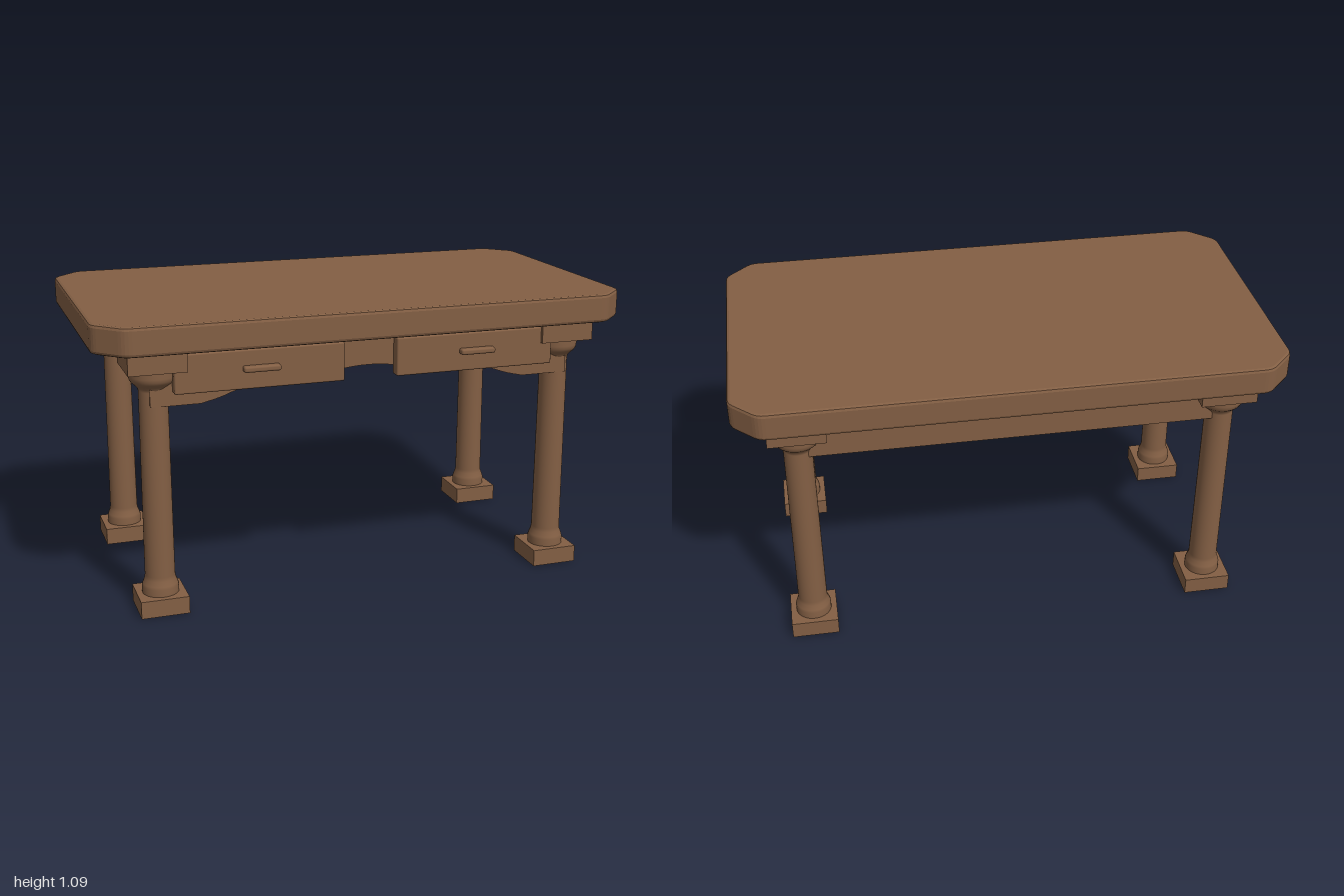
import * as THREE from 'three';
import { RoundedBoxGeometry } from 'three/addons/geometries/RoundedBoxGeometry.js';

const LEG_X = 0.778, LEG_Z = 0.378, UNDER = 0.985;

export function createModel() {
  const table = new THREE.Group();
  table.name = 'writingTable';
  const wood = new THREE.MeshStandardMaterial({ color: 0x835f44 });
  wood.name = 'brown wood';

  const add = (parent, name, geometry, x = 0, y = 0, z = 0) => {
    const mesh = new THREE.Mesh(geometry, wood);
    mesh.name = name;
    mesh.position.set(x, y, z);
    parent.add(mesh);
    return mesh;
  };
  const box = (w, h, d) => new THREE.BoxGeometry(w, h, d);

  // Tabletop: clipped, slightly softened corners and a small bevel
  const bevel = 0.012, hx = 1 - bevel, hz = 0.555 - bevel, cut = 0.093, soft = 0.022;
  const corners = [
    [hx, -hz + cut], [hx, hz - cut], [hx - cut, hz], [-hx + cut, hz],
    [-hx, hz - cut], [-hx, -hz + cut], [-hx + cut, -hz], [hx - cut, -hz],
  ].map(([x, z]) => new THREE.Vector2(x, z));
  const outline = new THREE.Shape();
  corners.forEach((p, i) => {
    const toward = (q) => p.clone().add(q.clone().sub(p).setLength(soft));
    const a = toward(corners[(i + 7) % 8]), b = toward(corners[(i + 1) % 8]);
    if (i === 0) outline.moveTo(a.x, a.y);
    else outline.lineTo(a.x, a.y);
    outline.quadraticCurveTo(p.x, p.y, b.x, b.y);
  });
  outline.closePath();
  const top = new THREE.ExtrudeGeometry(outline, {
    depth: 0.105 - 2 * bevel, bevelEnabled: true, bevelSize: bevel,
    bevelThickness: bevel, bevelSegments: 2, curveSegments: 4,
  });
  top.rotateX(-Math.PI / 2);
  add(table, 'tabletop', top, 0, UNDER + bevel, 0);

  // Legs: square foot, turned column with flared head, square capital
  const column = new THREE.LatheGeometry([
    [0.067, 0.06], [0.067, 0.092], [0.064, 0.102], [0.057, 0.12], [0.055, 0.135],
    [0.052, 0.825], [0.055, 0.836], [0.064, 0.846], [0.077, 0.858],
    [0.083, 0.868], [0.085, 0.88], [0.085, 0.91],
  ].map(([r, y]) => new THREE.Vector2(r, y)), 40);
  const foot = box(0.177, 0.065, 0.177);
  const capital = box(0.207, 0.08, 0.21);
  for (const sx of [-1, 1]) {
    for (const sz of [-1, 1]) {
      const leg = new THREE.Group();
      leg.name = (sz > 0 ? 'front' : 'back') + (sx > 0 ? 'Left' : 'Right') + 'Leg';
      leg.position.set(sx * LEG_X, 0, sz * LEG_Z);
      add(leg, 'foot', foot, 0, 0.0325, 0);
      add(leg, 'column', column);
      add(leg, 'capital', capital, 0, 0.945, 0);
      table.add(leg);
    }
  }

  // Plain side and back rails
  for (const sx of [-1, 1]) {
    add(table, sx > 0 ? 'leftRail' : 'rightRail',
      box(0.06, UNDER - 0.86, 2 * LEG_Z), sx * LEG_X, (UNDER + 0.86) / 2, 0);
  }
  add(table, 'backRail', box(2 * LEG_X, UNDER - 0.805, 0.06), 0, (UNDER + 0.805) / 2, -0.385);

  // Front apron with a scalloped, arched lower edge
  const half = [[0.62, 0.775], [0.55, 0.792], [0.47, 0.818], [0.36, 0.826], [0.22, 0.832], [0.1, 0.858]];
  const edge = [
    ...half.map(([x, y]) => new THREE.Vector2(-x, y)),
    new THREE.Vector2(0, 0.866),
    ...half.map(([x, y]) => new THREE.Vector2(x, y)).reverse(),
  ];
  const apron = new THREE.Shape();
  apron.moveTo(-0.8, UNDER);
  apron.lineTo(-0.8, 0.775);
  apron.lineTo(-0.62, 0.775);
  apron.splineThru(edge.slice(1));
  apron.lineTo(0.8, 0.775);
  apron.lineTo(0.8, UNDER);
  apron.closePath();
  const apronGeometry = new THREE.ExtrudeGeometry(apron, { depth: 0.05, bevelEnabled: false, curveSegments: 3 });
  add(table, 'frontApron', apronGeometry, 0, 0, 0.382);

  // Two drawer fronts with bar handles
  const drawerFront = new RoundedBoxGeometry(0.62, 0.142, 0.045, 2, 0.006);
  const handle = new RoundedBoxGeometry(0.135, 0.022, 0.032, 3, 0.008);
  for (const sx of [-1, 1]) {
    const drawer = new THREE.Group();
    drawer.name = sx > 0 ? 'leftDrawer' : 'rightDrawer';
    drawer.position.set(sx * 0.41, 0.894, 0);
    add(drawer, 'drawerFront', drawerFront, 0, 0, 0.447);
    add(drawer, 'handle', handle, 0, 0.005, 0.483);
    table.add(drawer);
  }
  return table;
}
